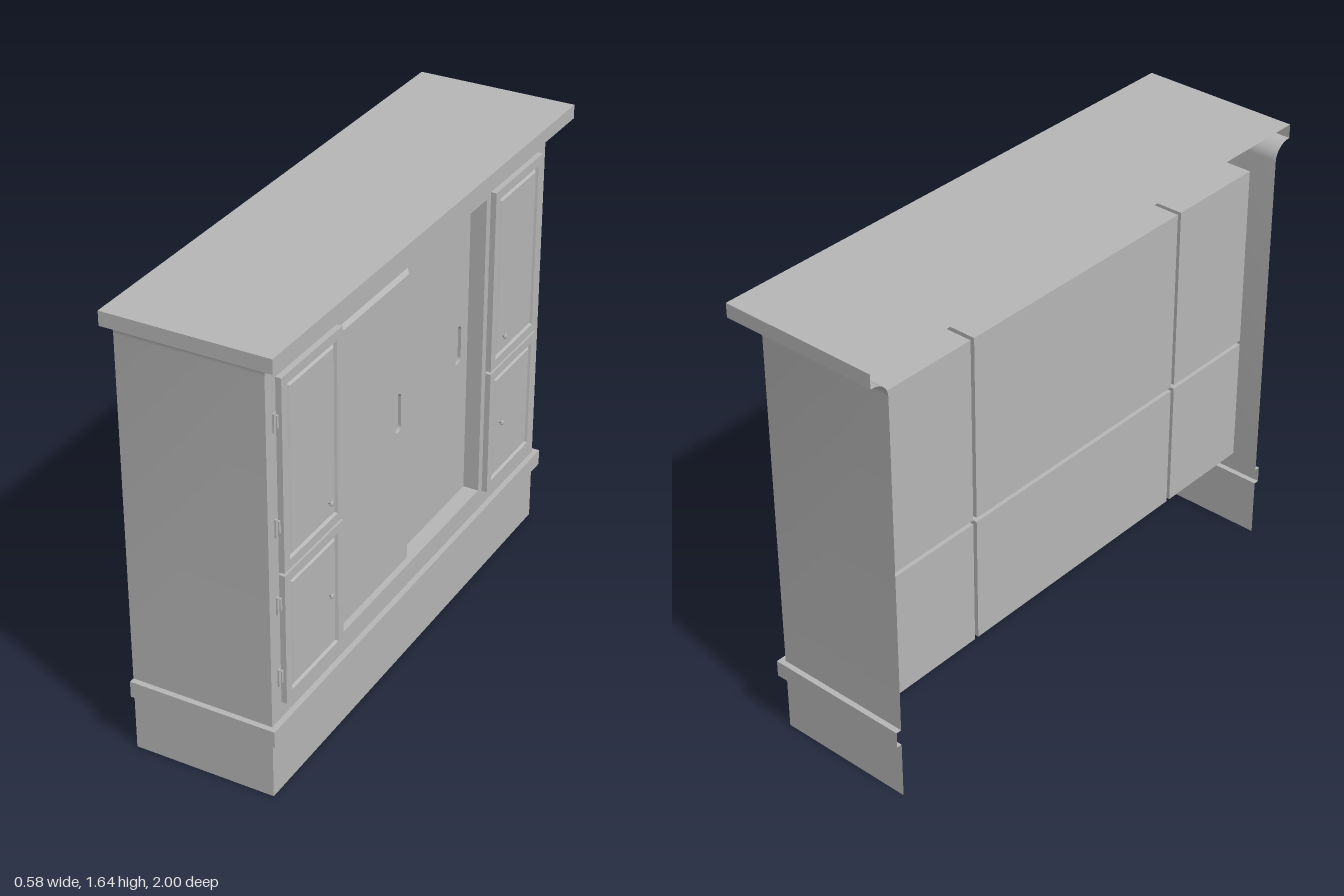
import * as THREE from 'three';
import { toCreasedNormals } from 'three/addons/utils/BufferGeometryUtils.js';

const grey = new THREE.MeshStandardMaterial({ color: 0xb6b6b6, side: THREE.DoubleSide });
grey.name = 'plain grey';

const W = 0.93, FRONT = 0.22, BACK = -0.295;              // body half width, front and back
const OPEN = { u: 0.49, y0: 0.35, y1: 1.485 };            // sliding door opening

// Local frame: u = width, y = up, w = depth with the doors on +w
export function createModel() {
  const model = new THREE.Group();
  model.name = 'cabinet';
  const body = new THREE.Group();
  body.name = 'cabinetBody';
  body.rotation.y = Math.PI / 2;
  model.add(body);

  const add = (name, geometry, u = 0, y = 0, w = 0) => {
    const mesh = new THREE.Mesh(geometry, grey);
    mesh.name = name;
    mesh.position.set(u, y, w);
    body.add(mesh);
    return mesh;
  };
  const box = (name, u0, u1, y0, y1, w0, w1) =>
    add(name, new THREE.BoxGeometry(u1 - u0, y1 - y0, w1 - w0), (u0 + u1) / 2, (y0 + y1) / 2, (w0 + w1) / 2);

  // Moulded shell: one profile of [offset, height] swept round three sides
  const profile = [[0, 0], [0, 0.215], [0.02, 0.215], [0.02, 0.275], [0, 0.275], [0, 1.53]];
  for (let i = 1; i <= 8; i++) {
    const a = (i / 8) * Math.PI / 2;
    profile.push([0.065 * (1 - Math.cos(a)), 1.53 + 0.06 * Math.sin(a)]);
  }
  profile.push([0.07, 1.59], [0.07, 1.64]);
  const path = (i, [d, y]) => [(i < 2 ? -1 : 1) * (W + d), y, i % 3 ? FRONT + d : BACK];
  const quads = [];
  for (let j = 0; j < profile.length - 1; j++) {
    for (let i = 0; i < 3; i++) {
      if (i === 1 && j === 4) continue;                   // face frame goes here
      quads.push([path(i, profile[j]), path(i + 1, profile[j]), path(i + 1, profile[j + 1]), path(i, profile[j + 1])]);
    }
  }
  add('mouldedShell', toCreasedNormals(fromQuads(quads), 0.5));
  add('topBoard', new THREE.PlaneGeometry(2, 0.585).rotateX(-Math.PI / 2), 0, 1.64, -0.0025);

  // Face frame with the opening, and the opening's lining
  const faceShape = rect(-W, W, 0.275, 1.53);
  faceShape.holes.push(rect(-OPEN.u, OPEN.u, OPEN.y0, OPEN.y1));
  add('faceFrame', new THREE.ShapeGeometry(faceShape), 0, 0, FRONT);
  const lining = rect(-OPEN.u - 0.006, OPEN.u + 0.006, OPEN.y0 - 0.006, OPEN.y1 + 0.006);
  lining.holes.push(rect(-OPEN.u, OPEN.u, OPEN.y0, OPEN.y1));
  add('openingLining', new THREE.ExtrudeGeometry(lining, { depth: 0.098, bevelEnabled: false }), 0, 0, 0.12);

  // Inner compartments, three columns by two rows
  for (const [y0, y1] of [[0.345, 0.808], [0.824, 1.49]]) {
    box('middleCompartment', -0.492, 0.492, y0, y1, -0.228, 0.13);
    box('sideCompartment', -0.88, -0.508, y0, y1, -0.228, 0.215);
    box('sideCompartment', 0.508, 0.88, y0, y1, -0.228, 0.215);
  }

  // Sliding doors with bevelled panels and sunken grips
  const slidingDoor = (u0, u1, w, gripU) => {
    const b = 0.038, y0 = OPEN.y0, y1 = OPEN.y1;
    add('slidingDoorEdge', ring(u0, u1, y0, y1,
      [[0, w - 0.035], [0, w - 0.015], [0.02, w - 0.015], [b, w]]));
    const face = rect(u0 + b, u1 - b, y0 + b, y1 - b);
    face.holes.push(oval(gripU, 0.97, 0.02, 0.052));
    add('slidingDoorPanel', new THREE.ShapeGeometry(face), 0, 0, w);
    const rim = oval(gripU, 0.97, 0.021, 0.052);
    rim.holes.push(oval(gripU, 0.97, 0.02, 0.052));
    add('gripWall', new THREE.ExtrudeGeometry(rim, { depth: 0.012, bevelEnabled: false }), 0, 0, w - 0.0125);
    add('gripFloor', new THREE.ShapeGeometry(oval(gripU, 0.97, 0.021, 0.052)), 0, 0, w - 0.012);
  };
  slidingDoor(-0.49, 0.0, 0.21, -0.1);
  slidingDoor(-0.005, 0.49, 0.175, 0.392);

  // Hinged side doors with grooved panels, knobs and hinges, mirrored
  const knob = new THREE.LatheGeometry(
    [[0.004, 0], [0.004, 0.006], [0.009, 0.009], [0.01, 0.013], [0.007, 0.016], [0, 0.017]]
      .map(([r, h]) => new THREE.Vector2(r, h)), 16).rotateX(Math.PI / 2);
  for (const s of [-1, 1]) {
    const u0 = s < 0 ? -0.872 : 0.515, u1 = s < 0 ? -0.515 : 0.872;
    for (const [y0, y1, knobY] of [[0.335, 0.813, 0.58], [0.823, 1.5, 0.925]]) {
      const steps = [[0, FRONT], [0, 0.24], [0.033, 0.24], [0.037, 0.23], [0.043, 0.23], [0.05, 0.238]];
      add('sideDoorFrame', ring(u0, u1, y0, y1, steps));
      add('sideDoorPanel', new THREE.ShapeGeometry(rect(u0 + 0.05, u1 - 0.05, y0 + 0.05, y1 - 0.05)), 0, 0, 0.238);
      add('knob', knob, s * 0.602, knobY, 0.238);
    }
    for (const y of [0.44, 0.71, 0.99, 1.355]) {
      const a = s * 0.873, b = s * 0.882, c = s * 0.893;
      box('hingePin', Math.min(a, b), Math.max(a, b), y - 0.022, y + 0.022, FRONT, 0.23);
      box('hingePlate', Math.min(b, c), Math.max(b, c), y - 0.032, y + 0.032, FRONT, 0.226);
    }
  }
  return model;
}

// Flat-sided surface from four-cornered faces
function fromQuads(quads) {
  const points = quads.flatMap(([a, b, c, d]) => [a, b, c, a, c, d]).flat();
  const geometry = new THREE.BufferGeometry();
  geometry.setAttribute('position', new THREE.Float32BufferAttribute(points, 3));
  geometry.computeVertexNormals();
  return geometry;
}

// Rectangular rings stepping inwards, each step being [inset, depth]
function ring(u0, u1, y0, y1, steps) {
  const corners = ([d, w]) => [[u0 + d, y0 + d, w], [u1 - d, y0 + d, w], [u1 - d, y1 - d, w], [u0 + d, y1 - d, w]];
  const quads = [];
  for (let j = 0; j < steps.length - 1; j++) {
    const o = corners(steps[j]), n = corners(steps[j + 1]);
    for (let k = 0; k < 4; k++) quads.push([o[k], o[(k + 1) % 4], n[(k + 1) % 4], n[k]]);
  }
  return fromQuads(quads);
}

function rect(u0, u1, y0, y1) {
  return new THREE.Shape([[u0, y0], [u1, y0], [u1, y1], [u0, y1]].map(([u, y]) => new THREE.Vector2(u, y)));
}

// Upright slot with round ends
function oval(u, y, r, half) {
  const shape = new THREE.Shape();
  shape.absarc(u, y + half, r, 0, Math.PI, false);
  shape.absarc(u, y - half, r, Math.PI, Math.PI * 2, false);
  return shape;
}
